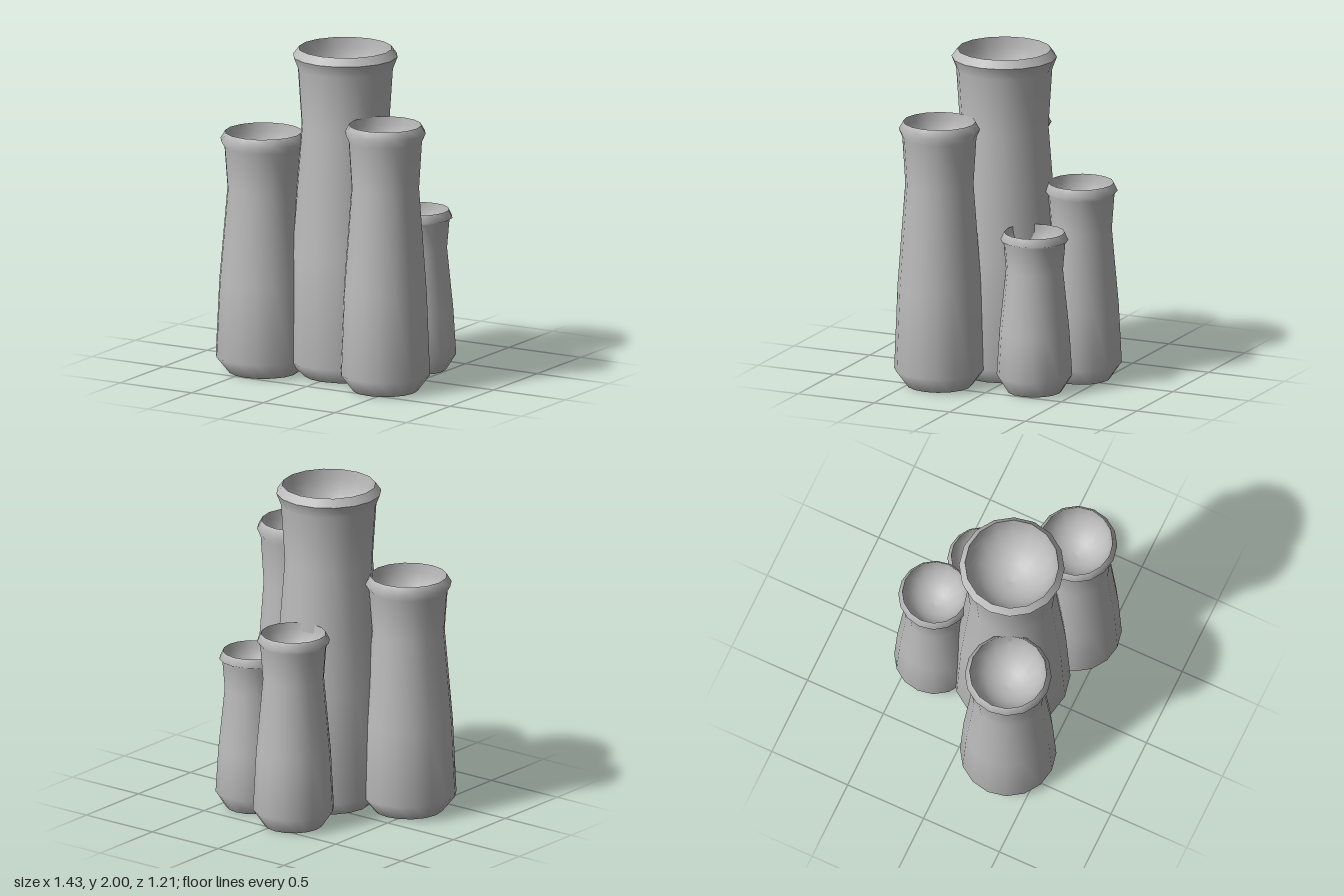
import * as THREE from 'three';

const SIDES = 16;

export function createModel() {
  const group = new THREE.Group();
  group.name = 'vaseCluster';
  const clay = new THREE.MeshStandardMaterial({ color: 0xbcbcbc });
  clay.name = 'plain grey clay';

  // Revolve a profile of [radius, height] pairs
  function turned(name, profile, parent) {
    const points = profile.map(([r, y]) => new THREE.Vector2(r, y));
    const mesh = new THREE.Mesh(new THREE.LatheGeometry(points, SIDES), clay);
    mesh.name = name;
    parent.add(mesh);
  }

  function vase(name, x, z, r, h, sharpLip) {
    const v = new THREE.Group();
    v.name = name;
    v.position.set(x, 0, z);

    // Bevelled foot, tapering belly, waist and flared neck
    const body = [
      [0.72 * r, 0], [r, 0.1], [0.925 * r, 0.38 * h],
      [0.755 * r, 0.765 * h], [0.82 * r, 0.94 * h], [0.9 * r, h - 0.048],
    ];
    const rim = [0.8 * r, h];
    if (sharpLip) turned('lip', [body[body.length - 1], rim], v);
    else body.push(rim);
    turned('body', body, v);

    // Flat underside
    turned('underside', [[0, 0], [0.72 * r, 0]], v);

    // Rounded hollow below the rim
    const hollow = [];
    for (let i = 0; i <= 8; i++) {
      const a = (i / 8) * Math.PI / 2;
      hollow.push([i === 8 ? 0 : 0.8 * r * Math.cos(a), h - 0.9 * r * Math.sin(a)]);
    }
    turned('hollow', hollow, v);
    group.add(v);
  }

  vase('tallVase', 0.026, 0.1, 0.35, 2, true);
  vase('frontRightVase', -0.43, 0.29, 0.288, 1.47);
  vase('frontLeftVase', 0.445, 0.33, 0.27, 1.625);
  vase('backRightVase', -0.07, -0.362, 0.243, 1.205);
  vase('backLeftVase', 0.33, -0.243, 0.226, 0.98);

  return group;
}
